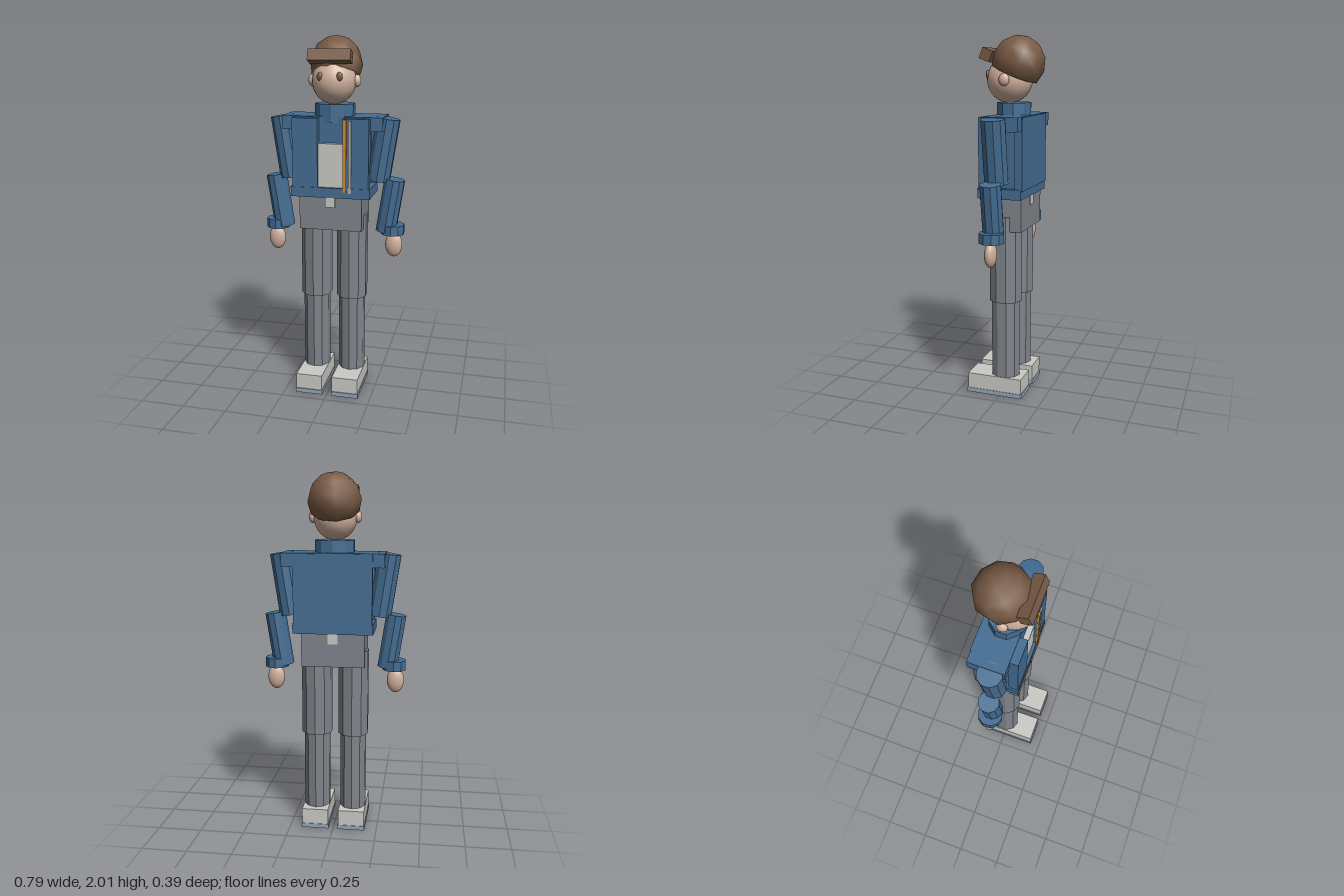
import * as THREE from 'three';

const mat = (name, color, extra = {}) => {
  const m = new THREE.MeshStandardMaterial({ color, ...extra });
  m.name = name;
  return m;
};

export function createModel() {
  const model = new THREE.Group();
  model.name = 'standingFigure';

  const blue = mat('jacketBlue', 0x446d93);
  const flatBlue = mat('sleeveBlue', 0x446d93, { flatShading: true });
  const grey = mat('trouserGrey', 0x80848b, { flatShading: true });
  const pale = mat('paleGrey', 0xcacac5);
  const sole = mat('soleBlueGrey', 0x96a6b9);
  const skin = mat('skin', 0xd0b19e);
  const brown = mat('hairBrown', 0x785a45, { side: THREE.DoubleSide });
  const orange = mat('stripeOrange', 0xd98c28);
  const silver = mat('stripeSilver', 0xa9adb3);

  const add = (name, geometry, material, x = 0, y = 0, z = 0) => {
    const m = new THREE.Mesh(geometry, material);
    m.name = name;
    m.position.set(x, y, z);
    model.add(m);
    return m;
  };

  // Box given by its limits on each axis
  const box = (name, material, x0, x1, y0, y1, z0, z1) =>
    add(name, new THREE.BoxGeometry(x1 - x0, y1 - y0, z1 - z0), material,
      (x0 + x1) / 2, (y0 + y1) / 2, (z0 + z1) / 2);

  // Smooth ellipsoid
  const ball = (name, material, x, y, z, rx, ry, rz) => {
    const m = add(name, new THREE.SphereGeometry(1, 24, 16), material, x, y, z);
    m.scale.set(rx, ry, rz);
    return m;
  };

  // Ten-sided limb from (xTop, yTop) to (xBottom, yBottom)
  const limb = (name, material, xTop, yTop, xBottom, yBottom, z, rx, rz) => {
    const dx = xTop - xBottom, dy = yTop - yBottom;
    const g = new THREE.CylinderGeometry(1, 1, Math.hypot(dx, dy), 10);
    g.scale(rx, 1, rz);
    const m = add(name, g, material, (xTop + xBottom) / 2, (yTop + yBottom) / 2, z);
    m.rotation.z = -Math.atan2(dx, dy);
    return m;
  };

  for (const s of [-1, 1]) {
    const side = s > 0 ? 'left' : 'right';

    // Shoes and legs
    const cx = s * 0.104;
    box(side + 'Sole', sole, cx - 0.078, cx + 0.078, 0, 0.025, -0.13, 0.195);
    box(side + 'Shoe', pale, cx - 0.075, cx + 0.075, 0.025, 0.113, -0.127, 0.19);
    limb(side + 'LowerLeg', grey, cx, 0.6, cx, 0.1, -0.012, 0.075, 0.082);
    limb(side + 'UpperLeg', grey, cx, 1.04, cx, 0.555, -0.012, 0.087, 0.093);

    // Arm, cuff and hand
    limb(side + 'UpperArm', flatBlue, s * 0.298, 1.575, s * 0.247, 1.235, -0.012, 0.066, 0.066);
    limb(side + 'Forearm', flatBlue, s * 0.339, 1.243, s * 0.294, 0.945, -0.012, 0.058, 0.058);
    limb(side + 'Cuff', flatBlue, s * 0.332, 0.987, s * 0.332, 0.933, -0.014, 0.066, 0.069);
    ball(side + 'Hand', skin, s * 0.34, 0.87, -0.012, 0.048, 0.07, 0.032);

    // Open jacket front
    const inner = s * 0.07, outer = s * 0.212;
    box(side + 'JacketPanel', blue, Math.min(inner, outer), Math.max(inner, outer),
      1.19, 1.577, 0.05, 0.104);

    // Face details
    ball(side + 'Ear', skin, s * 0.124, 1.77, -0.01, 0.021, 0.034, 0.029);
    ball(side + 'Eye', brown, s * 0.053, 1.797, 0.106, 0.017, 0.024, 0.012);
  }

  // Hips and buckle
  box('hips', grey, -0.175, 0.175, 0.96, 1.15, -0.125, 0.095);
  box('buckle', pale, -0.027, 0.027, 1.09, 1.147, -0.131, 0.104);

  // Jacket body
  box('jacketCore', blue, -0.19, 0.19, 1.15, 1.577, -0.13, 0.06);
  box('jacketBack', blue, -0.215, 0.215, 1.19, 1.58, -0.143, -0.1);
  box('jacketHem', blue, -0.221, 0.221, 1.145, 1.2, -0.137, 0.108);
  box('shoulderYoke', blue, -0.279, 0.279, 1.508, 1.583, -0.138, 0.06);
  box('shirt', pale, -0.07, 0.07, 1.2, 1.44, 0.05, 0.09);
  box('orangeStripe', orange, 0.072, 0.091, 1.18, 1.572, 0.104, 0.113);
  box('silverStripe', silver, 0.102, 0.119, 1.175, 1.568, 0.104, 0.113);

  // Collar
  limb('collar', flatBlue, 0, 1.648, 0, 1.55, -0.025, 0.112, 0.095);

  // Head
  ball('head', skin, 0, 1.77, 0, 0.12, 0.126, 0.125);

  // Faceted hair shell, tipped back
  const hair = add('hair', new THREE.SphereGeometry(0.147, 9, 4, 0, Math.PI * 2, 0, 2.03),
    brown, 0, 1.86, -0.05);
  hair.rotation.x = -0.4;

  // Block fringe, tipped with the hair
  const fringe = add('fringe', new THREE.BoxGeometry(0.231, 0.061, 0.061), brown, 0, 1.9, 0.096);
  fringe.rotation.x = -0.38;

  return model;
}
